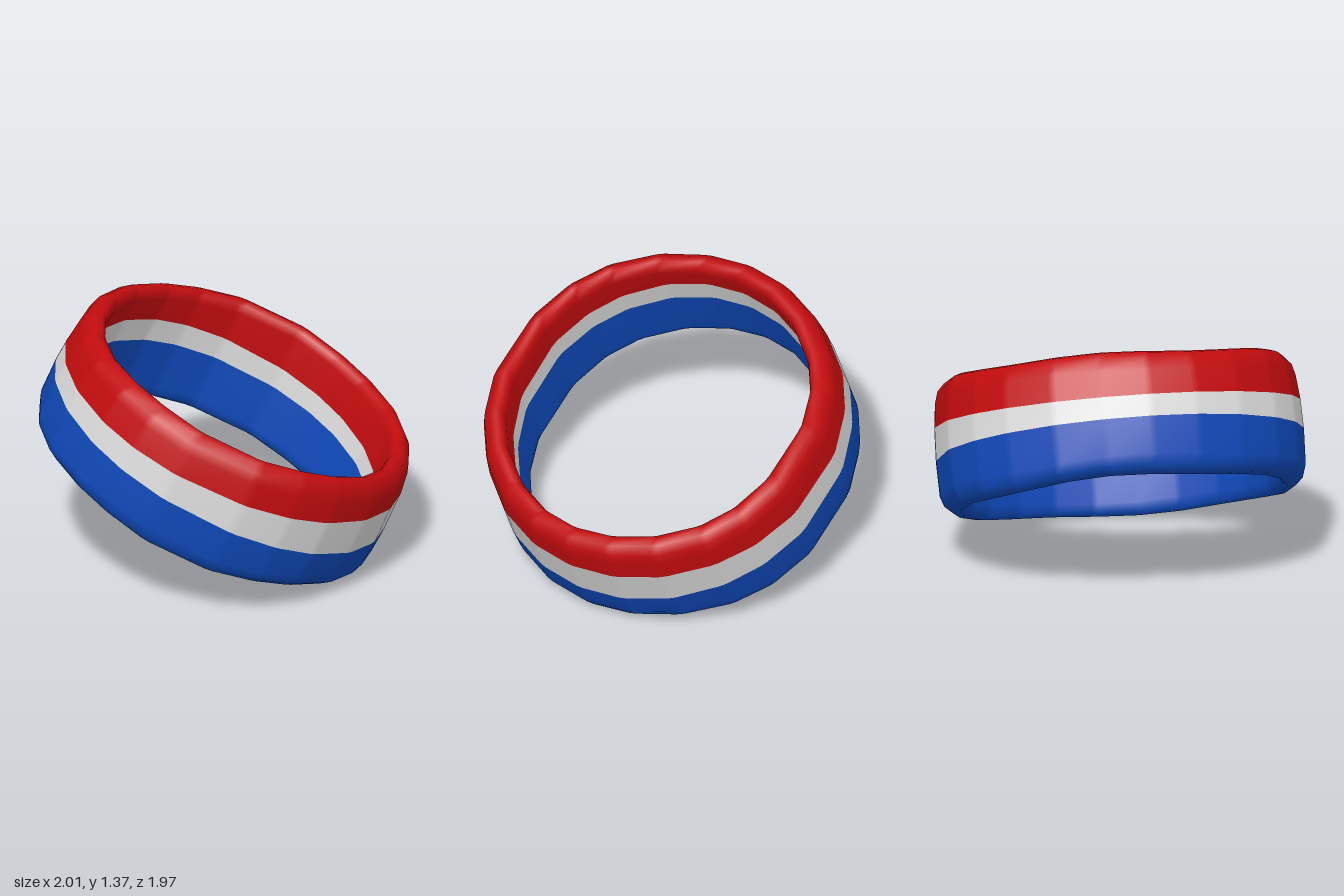
import * as THREE from 'three';

// Corner directions of the faceted ring, in degrees around its axis
const quarter = [15, 31, 48, 62, 78];
const half = [0, ...quarter, ...quarter.map((a) => 180 - a).reverse()];
const corners = [...half, ...half.map((a) => a + 180)].map((a) => {
  const t = THREE.MathUtils.degToRad(a);
  return new THREE.Vector2(Math.cos(t), Math.sin(t));
});

// Two columns per flat side, close to its corners, so the corners stay soft
const columns = corners.flatMap((p, i) => {
  const q = corners[(i + 1) % corners.length];
  return [0.08, 0.92].map((t) => p.clone().lerp(q, t));
});

// Heights of the colour borders; c runs from -1 to 1 across the ring
const outerHigh = (c) => 0.115 + 0.02 * c;
const outerLow = (c) => -0.055 - 0.03 * c;
const innerHigh = (c) => 0.115 - 0.045 * c;
const innerLow = (c) => -0.01 - 0.025 * c;

// The rims are slightly lower at the two ends and a little uneven
function rim(r, v, d) {
  const wobble = 0.008 * Math.sin(5 * Math.atan2(d.y, d.x) + v * 9);
  return [r, v * (1 - 0.06 * d.x * d.x) + wobble];
}

// Sweep an open cross-section [radius, height] round the ring
function band(name, material, section) {
  const positions = [];
  const indices = [];
  const rows = section(columns[0]).length;
  columns.forEach((d, i) => {
    const next = (i + 1) % columns.length;
    section(d).forEach(([r, v], j) => {
      positions.push(d.x * r, v, d.y * r);
      if (j < rows - 1) {
        const a = i * rows + j;
        const b = next * rows + j;
        indices.push(a, a + 1, b, b, a + 1, b + 1);
      }
    });
  });
  const geometry = new THREE.BufferGeometry();
  geometry.setAttribute('position', new THREE.Float32BufferAttribute(positions, 3));
  geometry.setIndex(indices);
  geometry.computeVertexNormals();
  const mesh = new THREE.Mesh(geometry, material);
  mesh.name = name;
  return mesh;
}

export function createModel() {
  const paint = (name, color) => new THREE.MeshStandardMaterial({ name, color });
  const red = paint('red', 0xc20c0e);
  const white = paint('white', 0xdadada);
  const blue = paint('blue', 0x0e48b6);

  const ring = new THREE.Group();
  ring.name = 'ring';
  ring.add(
    // Top third, wrapping over the upper rim
    band('redBand', red, (d) => [
      [1.0, outerHigh(d.x)],
      rim(0.985, 0.25, d),
      rim(0.968, 0.31, d),
      rim(0.93, 0.352, d),
      rim(0.892, 0.364, d),
      rim(0.862, 0.345, d),
      rim(0.85, 0.3, d),
      [0.858, innerHigh(d.x)],
    ]),
    // Middle third, outside and inside
    band('whiteOuterBand', white, (d) => [[1.006, outerLow(d.x)], [1.0, outerHigh(d.x)]]),
    band('whiteInnerBand', white, (d) => [[0.858, innerHigh(d.x)], [0.86, innerLow(d.x)]]),
    // Bottom third, wrapping under the lower rim
    band('blueBand', blue, (d) => [
      [0.86, innerLow(d.x)],
      rim(0.852, -0.28, d),
      rim(0.866, -0.33, d),
      rim(0.895, -0.352, d),
      rim(0.94, -0.345, d),
      rim(0.98, -0.31, d),
      rim(1.0, -0.25, d),
      [1.006, outerLow(d.x)],
    ]),
  );

  // The ring leans down towards its left
  ring.rotation.z = THREE.MathUtils.degToRad(-24.5);
  ring.position.y = 0.69;

  const model = new THREE.Group();
  model.name = 'stripedBand';
  model.add(ring);
  return model;
}
